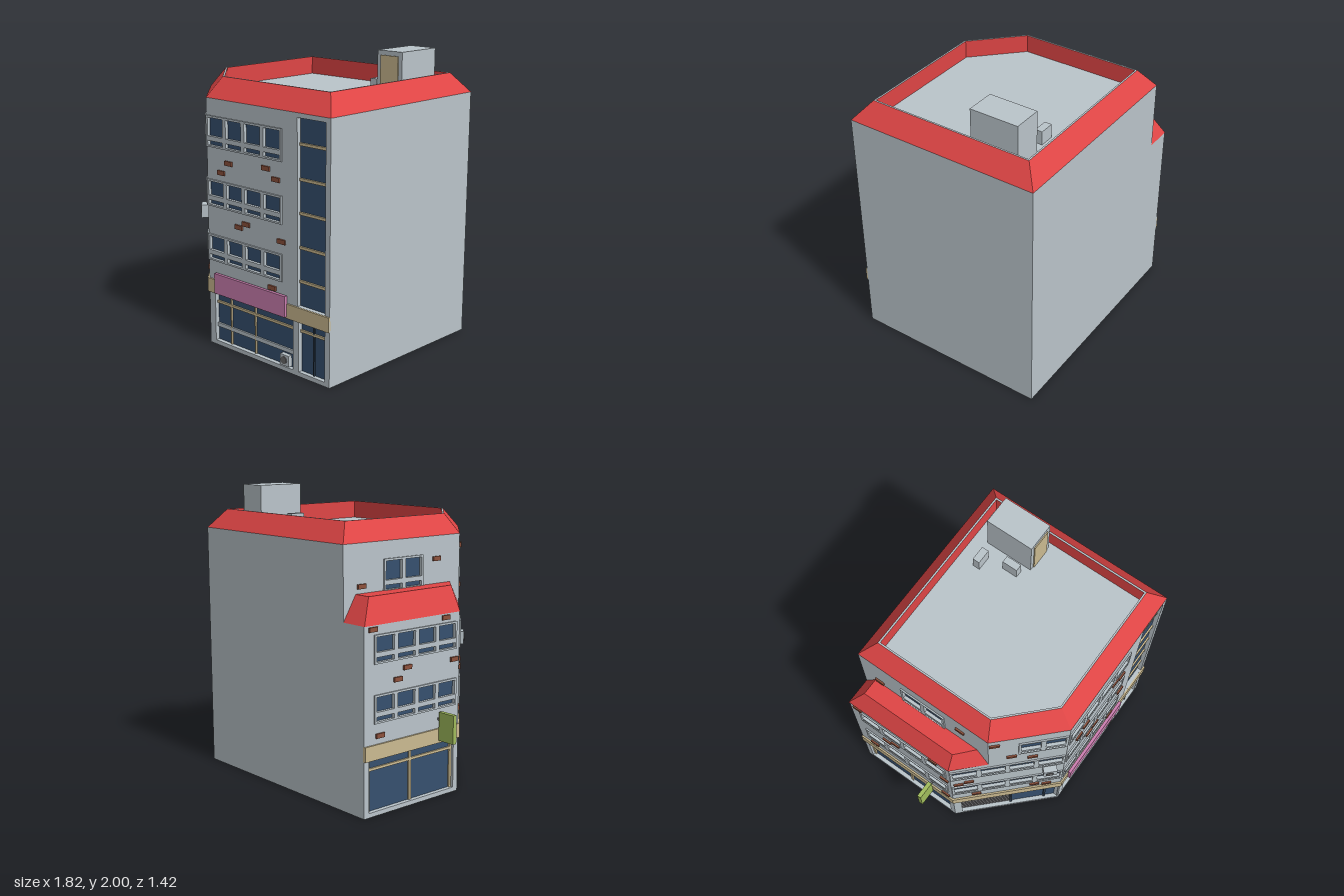
import * as THREE from 'three';

const paint = (name, color) => {
  const m = new THREE.MeshStandardMaterial({ color });
  m.name = name;
  return m;
};

export function createModel() {
  const model = new THREE.Group();
  model.name = 'cornerBuilding';
  const wall = paint('pale grey wall', 0xbac4ca);
  const red = paint('red roof', 0xdf4545);
  const glass = paint('blue glass', 0x36506f);
  const beige = paint('beige trim', 0xcbba91);
  const brick = paint('brown brick', 0x8d513c);
  const pink = paint('pink sign', 0xcd7fb1);
  const green = paint('green sign', 0xa0bb5c);
  const grey = paint('dark grey shutter', 0x6b6a6b);
  const dark = paint('dark post', 0x2b3a4b);
  const T = 0.04; // wall thickness

  const add = (parent, name, geometry, material) => {
    const mesh = new THREE.Mesh(geometry, material);
    mesh.name = name;
    parent.add(mesh);
    return mesh;
  };
  // box given by its low and high corners
  const box = (parent, name, mat, x0, x1, y0, y1, z0, z1) => {
    const m = add(parent, name, new THREE.BoxGeometry(x1 - x0, y1 - y0, z1 - z0), mat);
    m.position.set((x0 + x1) / 2, (y0 + y1) / 2, (z0 + z1) / 2);
    return m;
  };
  const rect = ([u0, u1, y0, y1]) => [[u0, y0], [u1, y0], [u1, y1], [u0, y1]].map(p => new THREE.Vector2(...p));
  // slab with rectangular openings, from z0 forward
  const slab = (parent, name, mat, outline, holes, z0, depth) => {
    const shape = new THREE.Shape(outline);
    holes.forEach(h => shape.holes.push(new THREE.Path(rect(h))));
    const m = add(parent, name, new THREE.ExtrudeGeometry(shape, { depth, bevelEnabled: false }), mat);
    m.position.z = z0;
  };
  // wall in its own frame: u to the right, y up, +z outwards
  const facade = (name, x, z, angle, outline, holes = []) => {
    const g = new THREE.Group();
    g.name = name;
    g.position.set(x, 0, z);
    g.rotation.y = angle;
    model.add(g);
    slab(g, name + 'Wall', wall, outline.map(p => new THREE.Vector2(...p)), holes, -T, T);
    return g;
  };
  // strip of windows, each with a large pane above a small one
  const windows = (g, [u0, u1, y0, y1], n) => {
    const step = (u1 - u0) / n, panes = [];
    for (let i = 0; i < n; i++) {
      const a = u0 + i * step + 0.016, b = u0 + (i + 1) * step - 0.016;
      panes.push([a, b, y0 + 0.012, y0 + 0.042], [a, b, y0 + 0.073, y1 - 0.014]);
    }
    slab(g, 'windowFrame', wall, rect([u0, u1, y0, y1]), panes, -0.03, 0.04);
    box(g, 'windowGlass', glass, u0, u1, y0, y1, -0.02, -0.012);
  };
  const pane = (g, [u0, u1, y0, y1]) => box(g, 'shopGlass', glass, u0, u1, y0, y1, -0.038, -0.03);
  const bar = (g, mat, u0, u1, y0, y1) => box(g, 'bar', mat, u0, u1, y0, y1, -0.031, -0.018);
  const bricks = (g, list, w = 0.068) => list.forEach(([u, y]) =>
    box(g, 'brick', brick, u - w / 2, u + w / 2, y - 0.015, y + 0.015, -0.005, 0.012));
  const airUnit = (g, u0, u1, y0, y1, z0, z1) => {
    box(g, 'airUnit', wall, u0, u1, y0, y1, z0, z1);
    const fan = add(g, 'airUnitFan', new THREE.CylinderGeometry(0.026, 0.026, 0.006, 20), grey);
    fan.rotation.x = Math.PI / 2;
    fan.position.set(u0 + (u1 - u0) * 0.45, (y0 + y1) / 2, z1 + 0.002);
  };
  const block = (w, y0, y1) => [[0, y0], [w, y0], [w, y1], [0, y1]];
  const rows = (u0, u1) => [[u0, u1, 0.6, 0.782], [u0, u1, 0.977, 1.16]];

  // front facade
  const fRows = [...rows(0.004, 0.7), [0.004, 0.7, 1.377, 1.586]];
  const shop = [0.055, 0.79, 0.03, 0.366], sideShop = [0.84, 1.07, 0.03, 0.366], stair = [0.83, 1.075, 0.468, 1.67];
  const front = facade('front', -0.2, 0.68, 0, block(1.105, 0, 1.7), [...fRows, shop, sideShop, stair]);
  fRows.forEach(r => windows(front, r, 4));
  [shop, sideShop, stair].forEach(r => pane(front, r));
  [1.505, 1.285, 1.07, 0.85, 0.63].forEach(y => bar(front, beige, 0.83, 1.075, y - 0.009, y + 0.009));
  [shop, sideShop].forEach(([a, b]) => bar(front, beige, a, b, 0.295, 0.312));
  bar(front, wall, 0.055, 0.79, 0.125, 0.152);
  [0.19, 0.425].forEach(u => bar(front, beige, u - 0.005, u + 0.005, 0.03, 0.366));
  [0.78].forEach(u => bar(front, wall, u - 0.005, u + 0.005, 0.03, 0.366));
  bar(front, dark, 0.948, 0.96, 0.03, 0.366);
  airUnit(front, 0.675, 0.75, 0.035, 0.11, -0.03, 0);
  bricks(front, [[0.213, 1.29], [0.14, 1.217], [0.557, 1.315], [0.647, 1.257], [0.303, 0.88], [0.372, 0.913], [0.695, 0.865], [0.61, 0.54]]);
  box(front, 'beltCourse', beige, -0.005, 1.105, 0.37, 0.467, -0.01, 0.012);
  box(front, 'pinkSign', pink, 0.08, 0.745, 0.38, 0.52, 0.008, 0.03);

  // diagonal corner facade, stepped in at the top floor
  const R = Math.SQRT2, L = 0.56 * R, S = 0.19 * R;
  const dRows = [...rows(0.004, L - 0.004), [0.465, L - 0.004, 1.377, 1.586]];
  const door = [0.057, L - 0.01, 0.03, 0.366];
  const diagonal = facade('corner', -0.76, 0.12, -Math.PI / 4,
    [[0, 0], [L, 0], [L, 1.7], [S, 1.7], [S, 1.22], [0, 1.22]], [...dRows, door]);
  dRows.forEach((r, i) => windows(diagonal, r, i < 2 ? 4 : 2));
  pane(diagonal, [0.43, L - 0.01, 0.03, 0.366]);
  box(diagonal, 'shutter', grey, 0.057, 0.43, 0.03, 0.366, -0.038, -0.03);
  for (let i = 0; i < 9; i++) box(diagonal, 'shutterSlat', grey, 0.06, 0.425, 0.04 + i * 0.036, 0.068 + i * 0.036, -0.031, -0.027);
  bar(diagonal, beige, 0.43, L - 0.01, 0.295, 0.312);
  [0.43, 0.685].forEach(u => bar(diagonal, dark, u - 0.008, u + 0.008, 0.03, 0.366));
  airUnit(diagonal, 0.64, 0.735, 0.87, 0.96, 0, 0.05);
  bricks(diagonal, [[-0.463, 1.337], [-0.363, 1.262], [-0.542, 1.623], [-0.67, 0.88], [-0.722, 0.844], [-0.638, 0.535], [-0.34, 0.546], [-0.278, 0.515]]
    .map(([x, y]) => [(x + 0.76) * R, y]));
  box(diagonal, 'beltCourse', beige, -0.005, L + 0.005, 0.37, 0.467, -0.01, 0.012);

  // side facade below the setback
  const sRows = rows(0.08, 0.8), sideDoor = [0.04, 0.79, 0.03, 0.366];
  const side = facade('side', -0.76, -0.71, -Math.PI / 2, block(0.83, 0, 1.22), [...sRows, sideDoor]);
  sRows.forEach(r => windows(side, r, 4));
  pane(side, sideDoor);
  [0.05, 0.41, 0.78].forEach(u => bar(side, beige, u - 0.009, u + 0.009, 0.03, 0.366));
  bar(side, beige, 0.04, 0.79, 0.295, 0.312);
  bricks(side, [[0.36, 0.92], [0.28, 0.855], [0.78, 0.91], [0.13, 0.52], [0.77, 0.5], [0.07, 1.195], [0.7, 1.195]]);
  box(side, 'beltCourse', beige, 0, 0.835, 0.37, 0.467, -0.01, 0.012);
  box(side, 'greenSign', green, 0.63, 0.66, 0.39, 0.582, 0.02, 0.15);
  [0.44, 0.53].forEach(y => box(side, 'signBracket', grey, 0.638, 0.652, y - 0.008, y + 0.008, 0, 0.022));

  // set-back top floor wall
  const upperRow = [0.33, 0.675, 1.377, 1.586];
  const upper = facade('upperSide', -0.57, -0.71, -Math.PI / 2, block(1.02, 1.22, 1.7), [upperRow]);
  windows(upper, upperRow, 2);
  bricks(upper, [[0.145, 1.43], [0.8, 1.55]]);

  // plain walls
  facade('rightWall', 0.905, 0.68, Math.PI / 2, block(1.39, 0, 1.7));
  facade('backWall', 0.905, -0.71, Math.PI, [[0, 0], [1.665, 0], [1.665, 1.22], [1.475, 1.22], [1.475, 1.7], [0, 1.7]]);

  // sloping bands between two rings of [x, z] points
  const loft = (name, mat, a, ya, b, yb) => {
    const pos = [];
    a.forEach((p, i) => {
      const j = (i + 1) % a.length;
      const A = [p[0], ya, p[1]], B = [a[j][0], ya, a[j][1]], C = [b[j][0], yb, b[j][1]], D = [b[i][0], yb, b[i][1]];
      pos.push(...A, ...B, ...C, ...A, ...C, ...D);
    });
    const geo = new THREE.BufferGeometry();
    geo.setAttribute('position', new THREE.Float32BufferAttribute(pos, 3));
    geo.computeVertexNormals();
    add(model, name, geo, mat);
  };
  const cap = (name, mat, ring, y) => {
    const geo = new THREE.ShapeGeometry(new THREE.Shape(ring.map(([x, z]) => new THREE.Vector2(x, -z))));
    add(model, name, geo.rotateX(-Math.PI / 2), mat).position.y = y;
  };
  // main roof skirt, parapet and deck
  const eave = [[-0.2, 0.68], [0.905, 0.68], [0.905, -0.71], [-0.57, -0.71], [-0.57, 0.31]];
  const crest = [[-0.155, 0.57], [0.8, 0.57], [0.8, -0.61], [-0.47, -0.61], [-0.47, 0.26]];
  const inner = [[-0.15, 0.558], [0.788, 0.558], [0.788, -0.598], [-0.458, -0.598], [-0.458, 0.255]];
  loft('roofSkirt', red, eave, 1.7, crest, 1.83);
  loft('parapetTop', wall, crest, 1.83, inner, 1.83);
  loft('parapetInside', red, inner, 1.83, inner, 1.705);
  cap('roofDeck', wall, inner, 1.705);

  // small roof over the setback
  const lowEave = [[-0.57, 0.31], [-0.57, -0.71], [-0.765, -0.71], [-0.765, 0.12]];
  const lowCrest = [[-0.57, 0.22], [-0.57, -0.61], [-0.69, -0.61], [-0.69, 0.11]];
  loft('lowRoofSkirt', red, lowEave, 1.22, lowCrest, 1.385);
  cap('lowRoofTop', red, lowCrest, 1.385);

  // rooftop stair house and units
  box(model, 'stairHouse', wall, 0.55, 0.755, 1.7, 2, -0.5, -0.155);
  box(model, 'stairHouseDoor', beige, 0.58, 0.725, 1.705, 1.97, -0.156, -0.147);
  box(model, 'roofUnit', wall, 0.36, 0.465, 1.7, 1.8, -0.48, -0.43);
  box(model, 'roofUnit', wall, 0.455, 0.505, 1.7, 1.8, -0.31, -0.2);
  return model;
}
